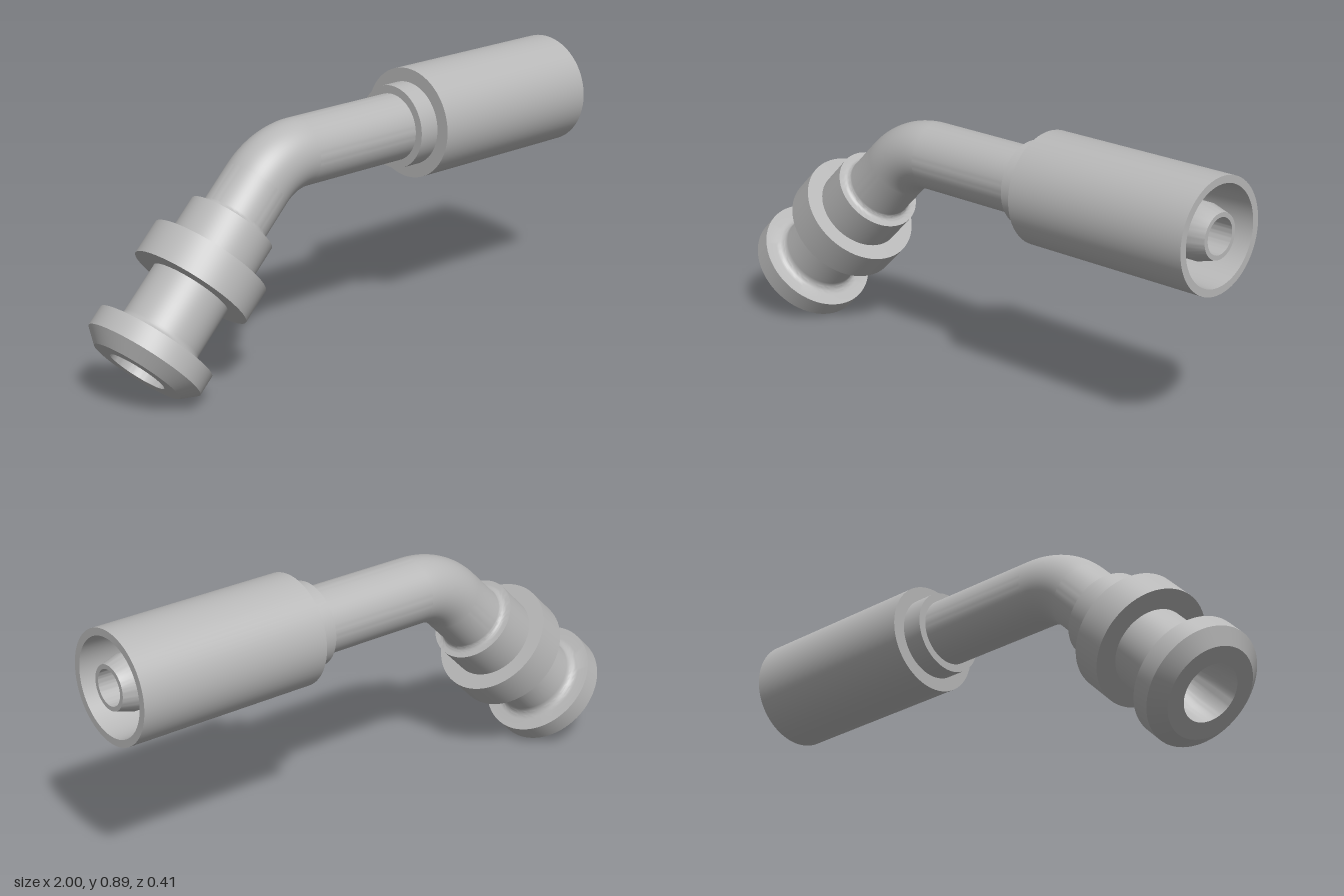
import * as THREE from 'three';
import { toCreasedNormals } from 'three/addons/utils/BufferGeometryUtils.js';

const AXIS_Y = 0.695;      // height of the straight run
const CORNER_X = -0.306;   // where the two centre lines cross
const BEND_R = 0.25;
const TUBE_R = 0.115;
const BORE_R = 0.06;
const TANGENT = BEND_R * Math.tan(Math.PI / 8);

export function createModel() {
  const group = new THREE.Group();
  const steel = new THREE.MeshStandardMaterial({ color: 0xb8b8b8, side: THREE.DoubleSide });
  steel.name = 'steel grey';

  // quarter-round fillet points, from (r0 + f, y0) to (r0, y0 + f) or mirrored
  const fillet = (r0, y0, f, up) => {
    const pts = [];
    for (let i = 0; i <= 6; i++) {
      const a = ((up ? i : 6 - i) / 6) * Math.PI / 2;
      pts.push([r0 + f * (1 - Math.sin(a)), y0 + (up ? 1 : -1) * f * (1 - Math.cos(a))]);
    }
    return pts;
  };

  // turned part whose axis starts at the corner and points along angle
  const turned = (name, profile, angle) => {
    const pts = profile.map(([r, y]) => new THREE.Vector2(r, y));
    const geo = toCreasedNormals(new THREE.LatheGeometry(pts, 72), 0.4);
    const mesh = new THREE.Mesh(geo, steel);
    mesh.name = name;
    mesh.position.set(CORNER_X, AXIS_Y, 0);
    mesh.rotation.z = angle - Math.PI / 2;
    group.add(mesh);
  };

  // straight tube, collar, hollow ferrule and inner nipple
  const x = (v) => v - CORNER_X;
  turned('tubeAndFerrule', [
    [TUBE_R, TANGENT], [TUBE_R, x(0.23)],
    [0.143, x(0.23)], [0.143, x(0.305)],
    [0.19, x(0.305)], [0.19, x(1)],
    [0.165, x(1)], [0.145, x(0.4)],
    [0.092, x(0.4)], [0.092, x(0.94)],
    [0.075, x(1)], [BORE_R, x(1)], [BORE_R, TANGENT],
  ], 0);

  // angled tube, sleeve, shoulder ring, neck and flange head
  turned('flangeFitting', [
    [TUBE_R, TANGENT],
    ...fillet(TUBE_R, 0.255, 0.02, false),
    [0.151, 0.255], [0.151, 0.384],
    [0.207, 0.384], [0.207, 0.503],
    [0.137, 0.503],
    ...fillet(0.137, 0.707, 0.03, false),
    [0.207, 0.707], [0.207, 0.776],
    [0.159, 0.819], [0.1, 0.819],
    [0.1, 0.72], [BORE_R, 0.6], [BORE_R, TANGENT],
  ], Math.PI * 1.25);

  // 45 degree bend, outside wall and bore
  for (const [name, r] of [['bend', TUBE_R], ['bendBore', BORE_R]]) {
    const mesh = new THREE.Mesh(new THREE.TorusGeometry(BEND_R, r, 72, 24, Math.PI / 4), steel);
    mesh.name = name;
    mesh.position.set(CORNER_X + TANGENT, AXIS_Y - BEND_R, 0);
    mesh.rotation.z = Math.PI / 2;
    group.add(mesh);
  }
  return group;
}
